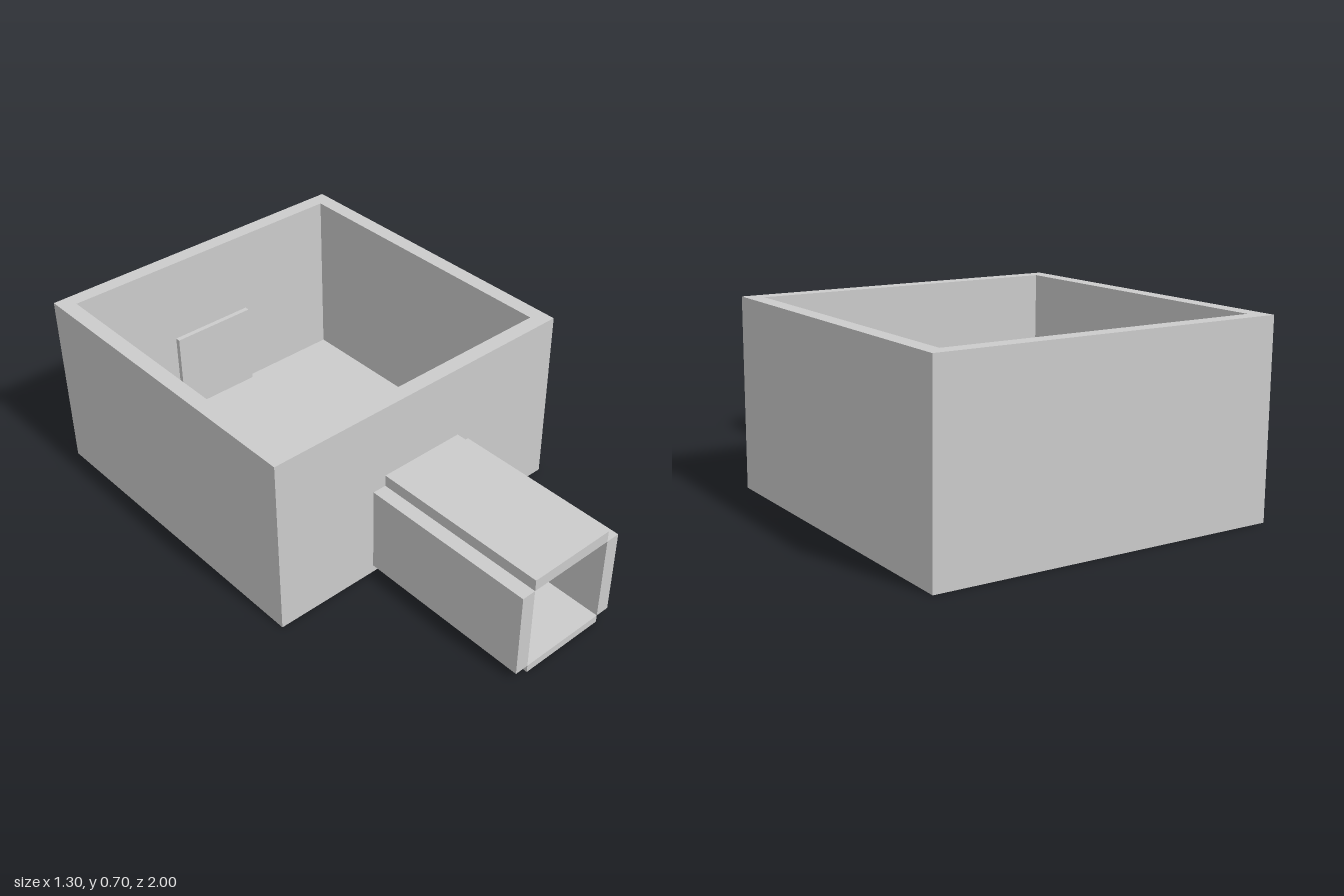
import * as THREE from 'three';

const material = new THREE.MeshStandardMaterial({ color: 0xcccccc, flatShading: true });

// Box given by its minimum and maximum corners
function block(name, [x0, y0, z0], [x1, y1, z1]) {
  const geometry = new THREE.BoxGeometry(x1 - x0, y1 - y0, z1 - z0);
  geometry.translate((x0 + x1) / 2, (y0 + y1) / 2, (z0 + z1) / 2);
  const mesh = new THREE.Mesh(geometry, material);
  mesh.name = name;
  return mesh;
}

export function createModel() {
  const model = new THREE.Group();
  model.name = 'roomWithPassage';

  const half = 0.65, wall = 0.06, inner = half - wall;
  const height = 0.705, back = -1, front = 0.3, end = 1;
  const floorTop = 0.03, doorHalf = 0.175, doorTop = 0.37;

  // Open-topped room
  const room = new THREE.Group();
  room.name = 'room';
  room.add(
    block('roomFloor', [-inner, 0, back + wall], [inner, floorTop, front - wall]),
    block('backWall', [-inner, 0, back], [inner, height, back + wall]),
    block('backPanel', [-doorHalf, floorTop, back + wall], [doorHalf, doorTop, back + wall + 0.02]),
    block('rightWall', [-half, 0, back], [-inner, height, front]),
    block('leftWall', [inner, 0, back], [half, height, front])
  );

  // Front wall with the doorway cut out
  const outline = new THREE.Shape([
    [-inner, 0], [inner, 0], [inner, height], [-inner, height]
  ].map(([x, y]) => new THREE.Vector2(x, y)));
  outline.holes.push(new THREE.Path([
    [-doorHalf, floorTop], [-doorHalf, doorTop], [doorHalf, doorTop], [doorHalf, floorTop]
  ].map(([x, y]) => new THREE.Vector2(x, y))));
  const frontGeometry = new THREE.ExtrudeGeometry(outline, { depth: wall, bevelEnabled: false });
  frontGeometry.translate(0, 0, front - wall);
  const frontWall = new THREE.Mesh(frontGeometry, material);
  frontWall.name = 'frontWall';
  room.add(frontWall);

  // Passage of four slabs meeting along their edges
  const passage = new THREE.Group();
  passage.name = 'passage';
  passage.add(
    block('passageFloor', [-doorHalf, 0, front], [doorHalf, floorTop, end]),
    block('passageRoof', [-doorHalf, doorTop, front], [doorHalf, 0.415, end]),
    block('passageRightWall', [-0.23, floorTop, front], [-doorHalf, doorTop, end]),
    block('passageLeftWall', [doorHalf, floorTop, front], [0.23, doorTop, end])
  );

  model.add(room, passage);
  return model;
}
